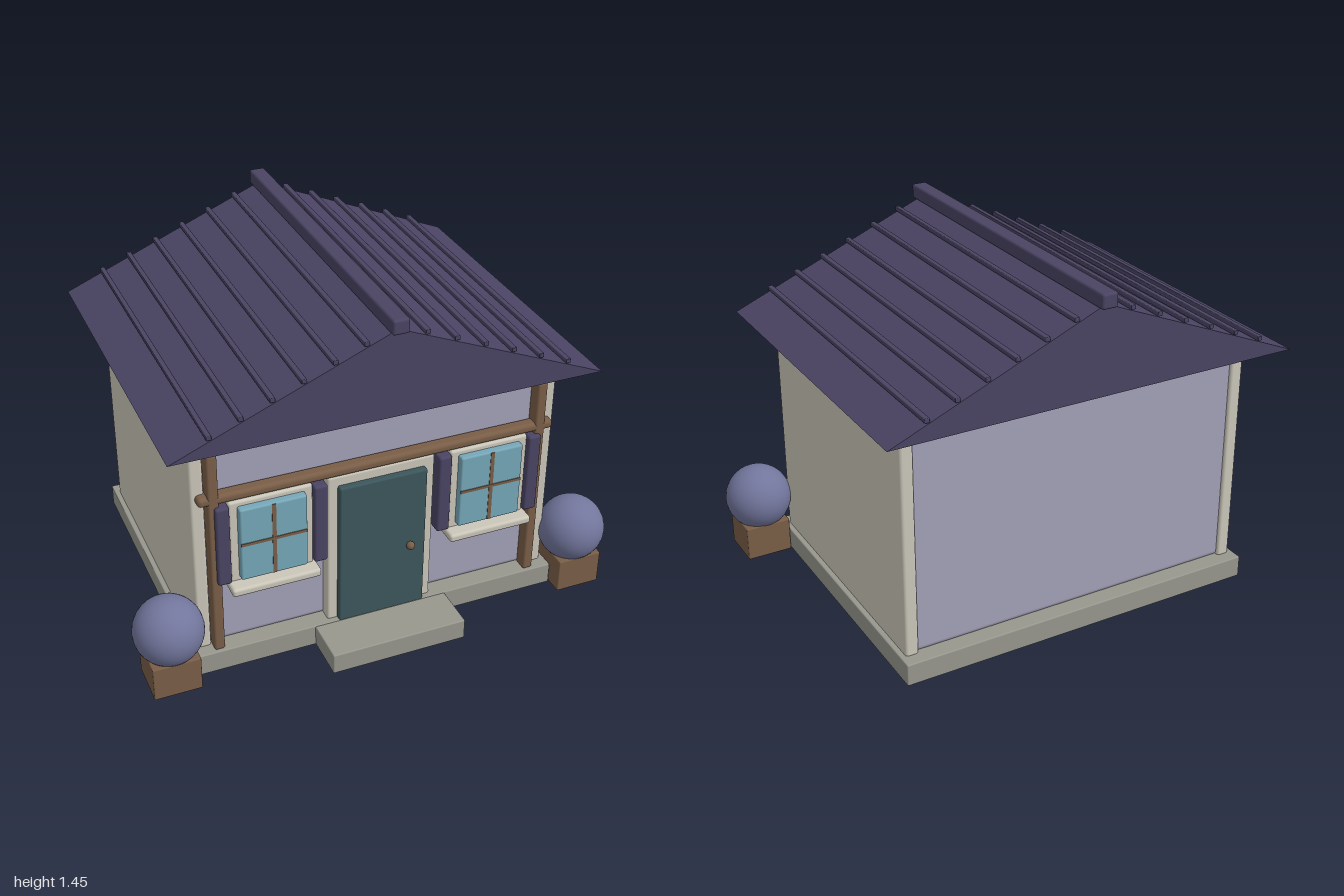
import * as THREE from 'three';
import { RoundedBoxGeometry } from 'three/addons/geometries/RoundedBoxGeometry.js';

const mat = (name, color) => {
  const m = new THREE.MeshStandardMaterial({ color });
  m.name = name;
  return m;
};

export function createModel() {
  const house = new THREE.Group();
  house.name = 'cottage';

  const roofPurple = mat('roofPurple', 0x4a4463);
  const lavender = mat('wallLavender', 0xa3a0b7);
  const cream = mat('trimCream', 0xcac6b9);
  const stone = mat('stoneGrey', 0x97978e);
  const wood = mat('timberBrown', 0x795e47);
  const teal = mat('doorTeal', 0x3c565b);
  const glass = mat('glassBlue', 0x76a7b8);
  const leaf = mat('bushBlue', 0x72769c);

  const add = (name, geometry, material, parent = house) => {
    const mesh = new THREE.Mesh(geometry, material);
    mesh.name = name;
    parent.add(mesh);
    return mesh;
  };
  // Box given by its extents, with softened edges of radius r
  const box = (name, material, [x0, x1], [y0, y1], [z0, z1], r = 0.006, parent = house) => {
    const size = [x1 - x0, y1 - y0, z1 - z0];
    const g = r > 0 ? new RoundedBoxGeometry(...size, 3, r) : new THREE.BoxGeometry(...size);
    g.translate((x0 + x1) / 2, (y0 + y1) / 2, (z0 + z1) / 2);
    return add(name, g, material, parent);
  };

  // Base and doorstep
  box('foundation', stone, [-0.765, 0.765], [0, 0.092], [-0.655, 0.585], 0.005);
  box('doorstep', stone, [-0.28, 0.28], [0, 0.088], [0.5, 0.77], 0.005);

  // Walls: inset lavender body between cream side slabs
  box('wallBody', lavender, [-0.71, 0.71], [0.085, 1.0], [-0.59, 0.515], 0.025);
  for (const s of [-1, 1]) {
    const x = s * 0.717;
    box('sideWall', cream, [x - 0.027, x + 0.027], [0.085, 1.008], [-0.603, 0.533], 0.012);
    const px = s * 0.667;
    box('timberPost', wood, [px - 0.021, px + 0.021], [0.088, 0.975], [0.51, 0.571], 0.01);
  }
  box('timberBeam', wood, [-0.725, 0.725], [0.758, 0.797], [0.515, 0.57], 0.016);

  // Door
  const door = new THREE.Group();
  door.name = 'door';
  house.add(door);
  box('doorFrame', cream, [-0.22, 0.22], [0.085, 0.758], [0.5, 0.562], 0.01, door);
  box('doorLeaf', teal, [-0.18, 0.18], [0.088, 0.716], [0.52, 0.588], 0.008, door);
  add('doorKnob', new THREE.SphereGeometry(0.017, 20, 14), wood, door).position.set(0.113, 0.382, 0.598);

  // Windows with shutters and sill
  for (const s of [-1, 1]) {
    const w = new THREE.Group();
    w.name = s > 0 ? 'leftWindow' : 'rightWindow';
    w.position.x = s * 0.448;
    house.add(w);
    box('windowFrame', cream, [-0.165, 0.165], [0.39, 0.757], [0.5, 0.572], 0.01, w);
    box('windowPane', glass, [-0.132, 0.132], [0.418, 0.736], [0.54, 0.602], 0.008, w);
    box('verticalMullion', wood, [-0.008, 0.008], [0.422, 0.732], [0.58, 0.604], 0, w);
    box('horizontalMullion', wood, [-0.13, 0.13], [0.574, 0.586], [0.58, 0.605], 0, w);
    box('windowSill', cream, [-0.177, 0.177], [0.368, 0.403], [0.51, 0.63], 0.012, w);
    for (const t of [-1, 1]) {
      box('shutter', roofPurple, [t * 0.192 - 0.027, t * 0.192 + 0.027], [0.406, 0.751], [0.51, 0.59], 0.01, w);
    }
  }

  // Roof: solid gable prism
  const roof = new THREE.Group();
  roof.name = 'roof';
  house.add(roof);
  const [halfW, eave, peak, back, front] = [0.855, 1.04, 1.396, -0.742, 0.67];
  const gable = new THREE.Shape([[-halfW, eave], [halfW, eave], [0, peak]].map(p => new THREE.Vector2(...p)));
  const prism = new THREE.ExtrudeGeometry(gable, { depth: front - back, bevelEnabled: false });
  add('roofGable', prism.translate(0, 0, back), roofPurple, roof);
  box('ridgeBeam', roofPurple, [-0.033, 0.033], [1.386, 1.446], [-0.77, 0.697], 0.01, roof);

  // Battens down both slopes
  for (const s of [-1, 1]) {
    for (let i = 1; i <= 6; i++) {
      const x = s * i * 0.117;
      const y = peak - (peak - eave) * Math.abs(x) / halfW + 0.013;
      box('roofBatten', roofPurple, [x - 0.01, x + 0.01], [y - 0.009, y + 0.009], [back, front], 0.003, roof);
    }
  }

  // Potted round bushes at the front corners
  for (const s of [-1, 1]) {
    const x = s * 0.863;
    const pot = new THREE.Group();
    pot.name = s > 0 ? 'leftPlanter' : 'rightPlanter';
    house.add(pot);
    box('planterBox', wood, [x - 0.095, x + 0.095], [0, 0.146], [0.464, 0.654], 0.005, pot);
    add('bush', new THREE.SphereGeometry(0.137, 32, 24), leaf, pot).position.set(x, 0.241, 0.559);
  }
  return house;
}
